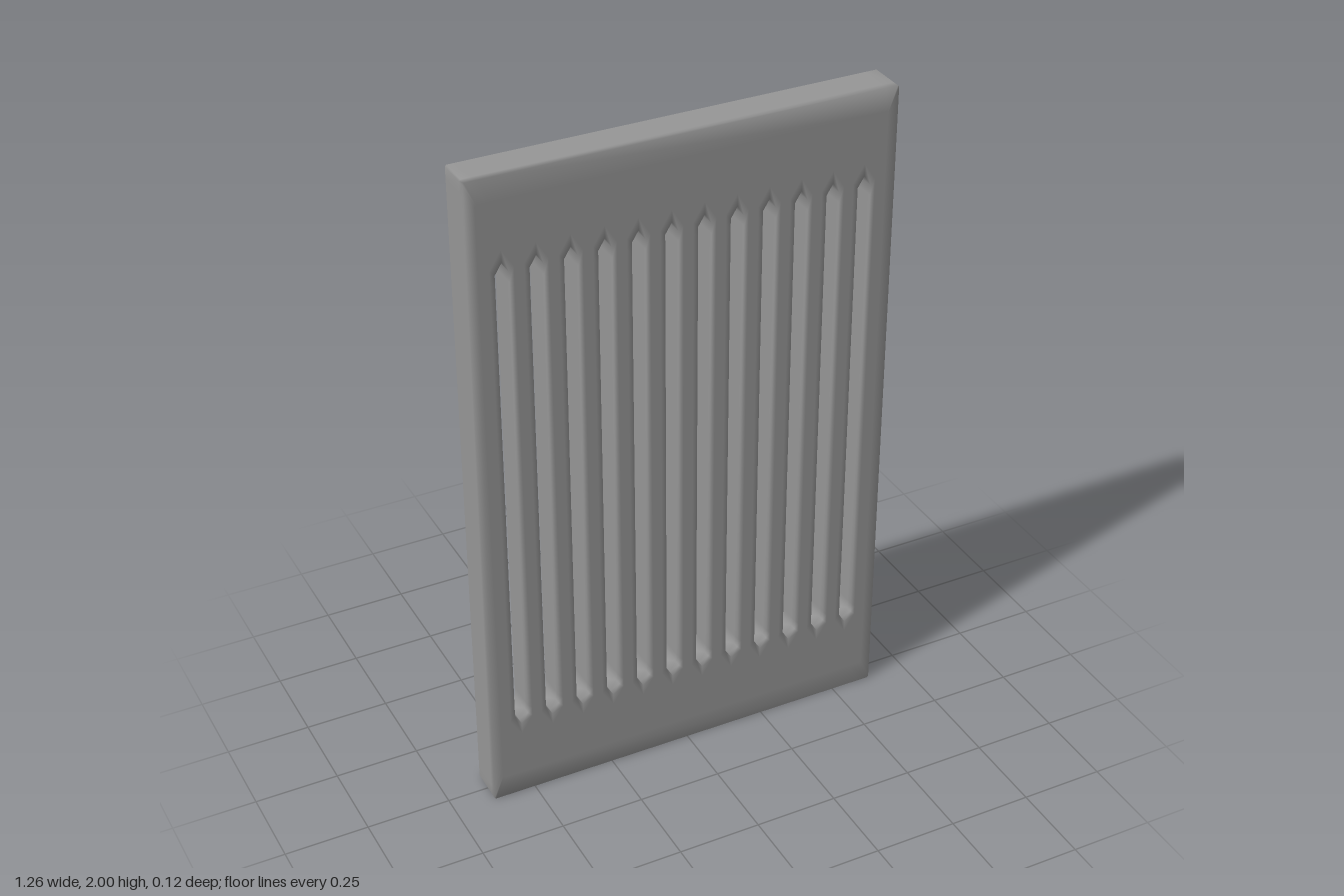
import * as THREE from 'three';

// Skin a series of closed rings (same point count, counter-clockwise from the front, inner to outer)
function loft(rings) {
  const n = rings[0].length, index = [];
  for (let r = 0; r < rings.length - 1; r++) {
    for (let i = 0; i < n; i++) {
      const j = (i + 1) % n, a = r * n, b = a + n;
      index.push(a + i, b + i, b + j, a + i, b + j, a + j);
    }
  }
  const geometry = new THREE.BufferGeometry();
  geometry.setAttribute('position', new THREE.Float32BufferAttribute(rings.flat(2), 3));
  geometry.setIndex(index);
  geometry.computeVertexNormals();
  return geometry;
}

const FRONT = 0.056, BACK = -0.056, MID = 1;
const SLOTS = 12, PITCH = 0.0969, CELL = PITCH / 2;
const CELL_TOP = 0.83; // half height of the slotted field

// Long slot outline with pointed ends; h = half width, s = shoulder, p = point (from mid height)
function slotRing(h, s, p, z) {
  const k = s - 0.03;
  return [[h, -k], [h, k], [h, s], [0, p], [-h, s], [-h, k],
    [-h, -k], [-h, -s], [0, -p], [h, -s]].map(([x, y]) => [x, MID + y, z]);
}

// Rectangle with tiny softened corners and extra points beside them
function frameRing(w, h, z, c = 0.004) {
  const q = 0.04, ring = [];
  for (const [sx, sy] of [[1, 1], [-1, 1], [-1, -1], [1, -1]]) {
    const corner = [[w, h - q], [w, h - c], [w - c, h], [w - q, h]];
    if (sx * sy < 0) corner.reverse();
    for (const [x, y] of corner) ring.push([sx * x, MID + sy * y, z]);
  }
  return ring;
}

export function createModel() {
  const group = new THREE.Group();
  group.name = 'ventPanel';
  const metal = new THREE.MeshStandardMaterial({ color: 0x969696, side: THREE.DoubleSide });
  metal.name = 'grey metal';

  // Border of the front sheet, folded back into an open rim
  const fieldX = SLOTS * CELL, W = 0.628, H = 1;
  const frame = new THREE.Mesh(loft([
    frameRing(fieldX, CELL_TOP, FRONT, 0),
    frameRing(W - 0.03, H - 0.07, FRONT),
    frameRing(W, H, FRONT),
    frameRing(W, H, FRONT - 0.022),
    frameRing(W, H, BACK),
  ]), metal);
  frame.name = 'frame';
  group.add(frame);

  // One slot cell: flange running back, opening, and the sheet around it
  const slotGeometry = loft([
    slotRing(0.02, 0.72, 0.752, FRONT - 0.09),
    slotRing(0.02, 0.72, 0.752, FRONT - 0.02),
    slotRing(0.02, 0.72, 0.752, FRONT),
    slotRing(0.034, 0.735, 0.79, FRONT),
    slotRing(CELL, CELL_TOP, CELL_TOP, FRONT),
  ]);
  for (let i = 0; i < SLOTS; i++) {
    const slot = new THREE.Mesh(slotGeometry, metal);
    slot.name = `slot${i + 1}`;
    slot.position.x = (i - (SLOTS - 1) / 2) * PITCH;
    group.add(slot);
  }

  // The panel sits very slightly turned
  const panel = new THREE.Group();
  panel.name = 'panel';
  group.rotation.y = -0.003;
  panel.add(group);
  return panel;
}
